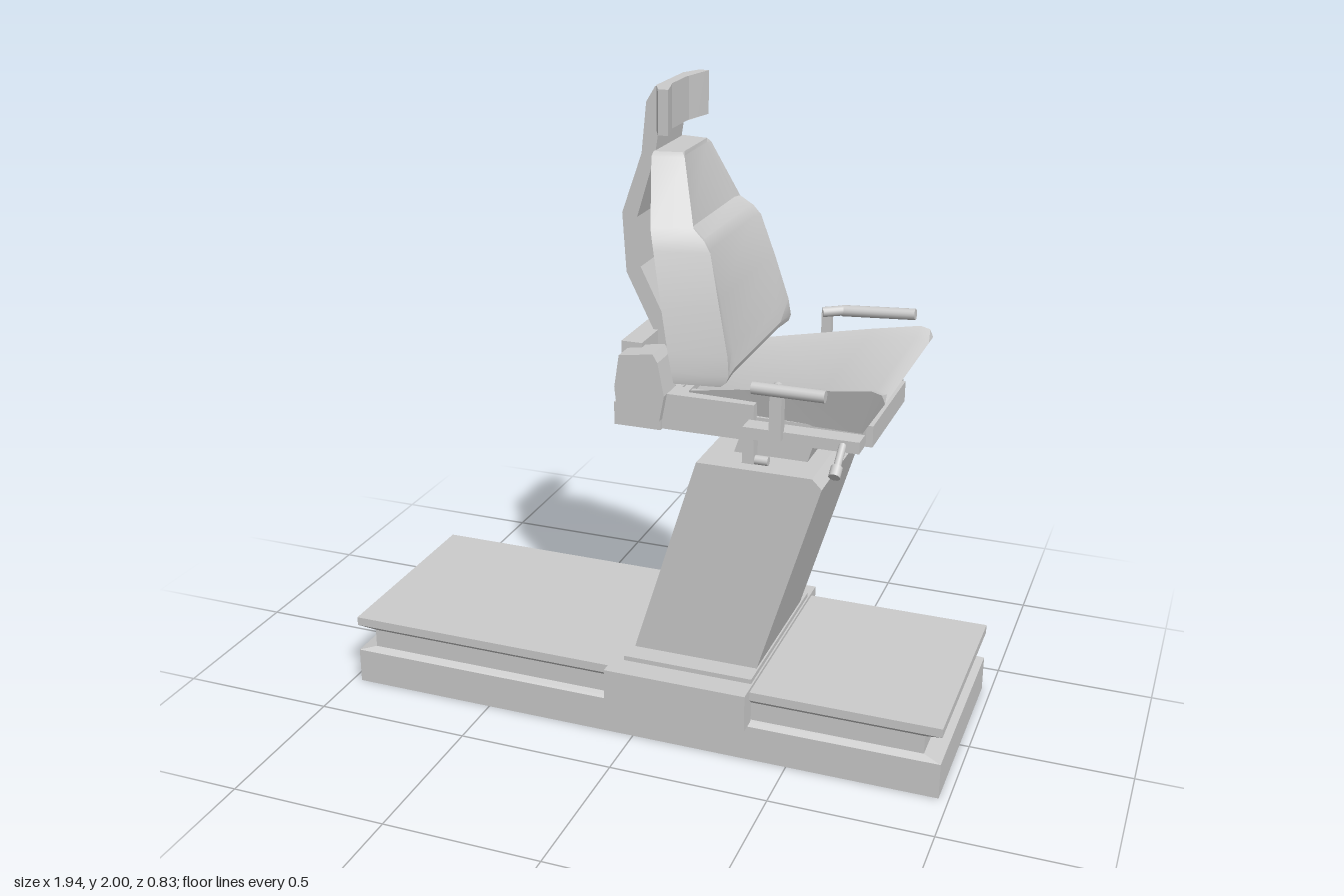
import * as THREE from 'three';
import { toCreasedNormals } from 'three/addons/utils/BufferGeometryUtils.js';

const C = -0.027; // z of the seat's mirror plane

export function createModel() {
  const model = new THREE.Group();
  const material = new THREE.MeshStandardMaterial({ color: 0xcccccc });

  const add = (name, geometry) => {
    const mesh = new THREE.Mesh(geometry, material);
    mesh.name = name;
    model.add(mesh);
    return mesh;
  };

  // Box given by its limits on each axis
  const box = (name, x0, x1, y0, y1, z0, z1) => {
    const mesh = add(name, new THREE.BoxGeometry(x1 - x0, y1 - y0, z1 - z0));
    mesh.position.set((x0 + x1) / 2, (y0 + y1) / 2, (z0 + z1) / 2);
    return mesh;
  };

  // Side profile in x and y, extruded across z
  const prism = (name, points, z0, z1) => {
    const shape = new THREE.Shape(points.map(([x, y]) => new THREE.Vector2(x, y)));
    const geometry = new THREE.ExtrudeGeometry(shape, { depth: z1 - z0, bevelEnabled: false });
    return add(name, geometry.translate(0, 0, z0));
  };

  // Closed skin over a list of equal-length rings
  const loft = (name, rings, crease = 0.35) => {
    const n = rings[0].length, index = [];
    const last = (rings.length - 1) * n;
    for (let r = 0; r < rings.length - 1; r++) {
      for (let i = 0; i < n; i++) {
        const a = r * n + i, b = r * n + (i + 1) % n;
        index.push(a, b, b + n, a, b + n, a + n);
      }
    }
    for (let i = 1; i < n - 1; i++) {
      index.push(0, i + 1, i, last, last + i, last + i + 1);
    }
    const geometry = new THREE.BufferGeometry();
    geometry.setAttribute('position', new THREE.Float32BufferAttribute(rings.flat(2), 3));
    geometry.setIndex(index);
    return add(name, toCreasedNormals(geometry, crease));
  };

  // Round bar between two points
  const rod = (name, from, to, radius) => {
    const a = new THREE.Vector3(...from), b = new THREE.Vector3(...to);
    const mesh = add(name, new THREE.CylinderGeometry(radius, radius, a.distanceTo(b), 16));
    mesh.position.copy(a).add(b).multiplyScalar(0.5);
    mesh.quaternion.setFromUnitVectors(new THREE.Vector3(0, 1, 0), b.sub(a).normalize());
    return mesh;
  };

  // Floor rail with a groove all round
  loft('floorRail', [
    [0, 0.97, 0.337], [0.115, 0.97, 0.337], [0.13, 0.915, 0.318],
    [0.19, 0.915, 0.318], [0.207, 0.97, 0.337], [0.235, 0.97, 0.337],
  ].map(([y, hx, hz]) => [[-hx, y, C + hz], [hx, y, C + hz], [hx, y, C - hz], [-hx, y, C - hz]]), 0.1);

  // Sliding carriage and leaning column
  box('carriage', -0.075, 0.38, 0.125, 0.245, C - 0.385, C + 0.385);
  box('carriagePlate', -0.04, 0.375, 0.24, 0.26, C - 0.305, C + 0.305);
  prism('column', [[-0.032, 0.255], [0.368, 0.255], [0.555, 0.885], [0.525, 0.915], [0.168, 0.915]], C - 0.235, C + 0.235);
  prism('neck', [[0.245, 0.91], [0.475, 0.91], [0.505, 1.015], [0.28, 1.015]], C - 0.115, C + 0.115);
  rod('turntable', [0.395, 1.01, C], [0.395, 1.04, C], 0.203).geometry =
    new THREE.CylinderGeometry(0.203, 0.203, 0.03, 40);

  // Frame under the cushion
  box('seatPan', 0.08, 0.67, 1.035, 1.095, C - 0.26, C + 0.26);
  box('frontFrame', 0.65, 0.69, 1.025, 1.09, C - 0.2, C + 0.2);
  box('rearCrossbarLow', -0.065, 0.08, 1.03, 1.1, C - 0.3, C + 0.3);
  box('rearCrossbarHigh', -0.065, 0.0, 1.2, 1.27, C - 0.24, C + 0.24);
  for (const s of [-1, 1]) {
    const z = C + s * 0.26;
    prism('frameCheek', [
      [-0.05, 1.06], [0.08, 1.06], [0.095, 1.14], [0.075, 1.24], [0.06, 1.265],
      [-0.045, 1.25], [-0.06, 1.15],
    ], z - 0.05, z + 0.05);
    box('frameArm', 0.06, 0.36, 1.03, 1.14, z - 0.045, z + 0.025);
    box('hinge', 0.325, 0.36, 0.955, 1.09, z - 0.02, z + 0.02);
    rod('hingeFoot', [0.33, 0.963, z], [0.4, 0.963, z], 0.014);
  }

  // Cushion flaring towards the front, with raised sides
  // x top, x bottom, y bottom, y top, half width bottom, half width top
  loft('seatCushion', [
    [0.15, 0.15, 1.09, 1.145, 0.235, 0.25],
    [0.3, 0.3, 1.09, 1.172, 0.245, 0.262],
    [0.55, 0.53, 1.09, 1.212, 0.26, 0.295],
    [0.705, 0.655, 1.09, 1.236, 0.265, 0.308],
    [0.735, 0.668, 1.09, 1.228, 0.265, 0.308],
    [0.745, 0.675, 1.09, 1.204, 0.265, 0.308],
  ].map(([xt, xb, y0, y1, b, t], i) => {
    const dip = y1 - (i < 5 ? 0.018 : 0);
    return [
      [xt, y1, C - t], [xt, dip, C - t * 0.8], [xt, dip, C + t * 0.8],
      [xt, y1, C + t], [xb, y0, C + b], [xb, y0, C - b],
    ];
  }), 0.5);

  // Backrest: tapered, leaning, with a slightly sunk centre panel
  // y, x back, x front, half width back, half width front, half width panel, sink
  loft('backrest', [
    [1.19, 0.13, 0.265, 0.325, 0.305, 0.23, 0.01],
    [1.205, 0.127, 0.283, 0.326, 0.306, 0.225, 0.008],
    [1.225, 0.123, 0.29, 0.326, 0.306, 0.22, 0.008],
    [1.28, 0.111, 0.283, 0.322, 0.298, 0.215, 0.014],
    [1.42, 0.079, 0.246, 0.297, 0.27, 0.21, 0.016],
    [1.56, 0.047, 0.207, 0.268, 0.235, 0.203, 0.012],
    [1.59, 0.04, 0.185, 0.261, 0.225, 0.2, 0.008],
    [1.62, 0.033, 0.147, 0.253, 0.21, 0.185, 0.01],
    [1.8, -0.008, 0.085, 0.138, 0.115, 0.1, 0.008],
    [1.812, -0.008, 0.075, 0.12, 0.105, 0.09, 0],
  ].map(([y, xb, xf, hb, hf, p, sink]) => [
    [xb, y, C + hb], [xf, y, C + hf], [xf - sink, y, C + p],
    [xf - sink, y, C - p], [xf, y, C - hf], [xb, y, C - hb],
  ]), 0.5);

  // Bent spine carrying the headrest
  prism('spine', [
    [0, 2], [-0.008, 1.995], [-0.035, 1.95], [-0.05, 1.8], [-0.112, 1.62], [-0.1, 1.44], [-0.01, 1.26],
    [-0.01, 1.1], [0.04, 1.1], [0.04, 1.27], [-0.055, 1.46], [-0.065, 1.61],
    [-0.008, 1.8], [0.004, 1.88],
  ], C - 0.108, C + 0.108);
  loft('headrest', [1.87, 2].map((y) => {
    const half = [[-0.003, 0.11], [0.025, 0.172], [0.056, 0.172], [0.05, 0.145], [0.03, 0.07]];
    const left = half.map(([x, z]) => [x, y, C + z]);
    const right = half.map(([x, z]) => [x, y, C - z]).reverse();
    return [...left, ...right];
  }), 0.1);

  // Control lever on the +z side
  box('sideRail', 0.35, 0.69, 1.065, 1.1, 0.27, 0.33);
  box('leverPost', 0.435, 0.47, 1.08, 1.235, 0.32, 0.355);
  rod('leverStub', [0.452, 1.235, 0.33], [0.452, 1.235, 0.375], 0.014);
  rod('leverGrip', [0.39, 1.238, 0.372], [0.6, 1.238, 0.372], 0.018);
  rod('adjusterRod', [0.642, 1.085, 0.325], [0.642, 1.03, 0.395], 0.011);
  rod('adjusterKnob', [0.642, 1.04, 0.382], [0.642, 1.02, 0.408], 0.017);

  // Armrest on the -z side
  box('sideRailShort', 0.36, 0.6, 1.065, 1.085, -0.355, -0.27);
  prism('armrestFoot', [[0.335, 0.955], [0.41, 0.955], [0.41, 0.985], [0.335, 0.985]], -0.4, -0.27);
  box('armrestPost', 0.38, 0.41, 0.955, 1.24, -0.4, -0.37);
  rod('armrestElbow', [0.385, 1.235, -0.365], [0.45, 1.24, -0.392], 0.016);
  rod('armrestGrip', [0.44, 1.238, -0.392], [0.675, 1.252, -0.392], 0.018);

  return model;
}
